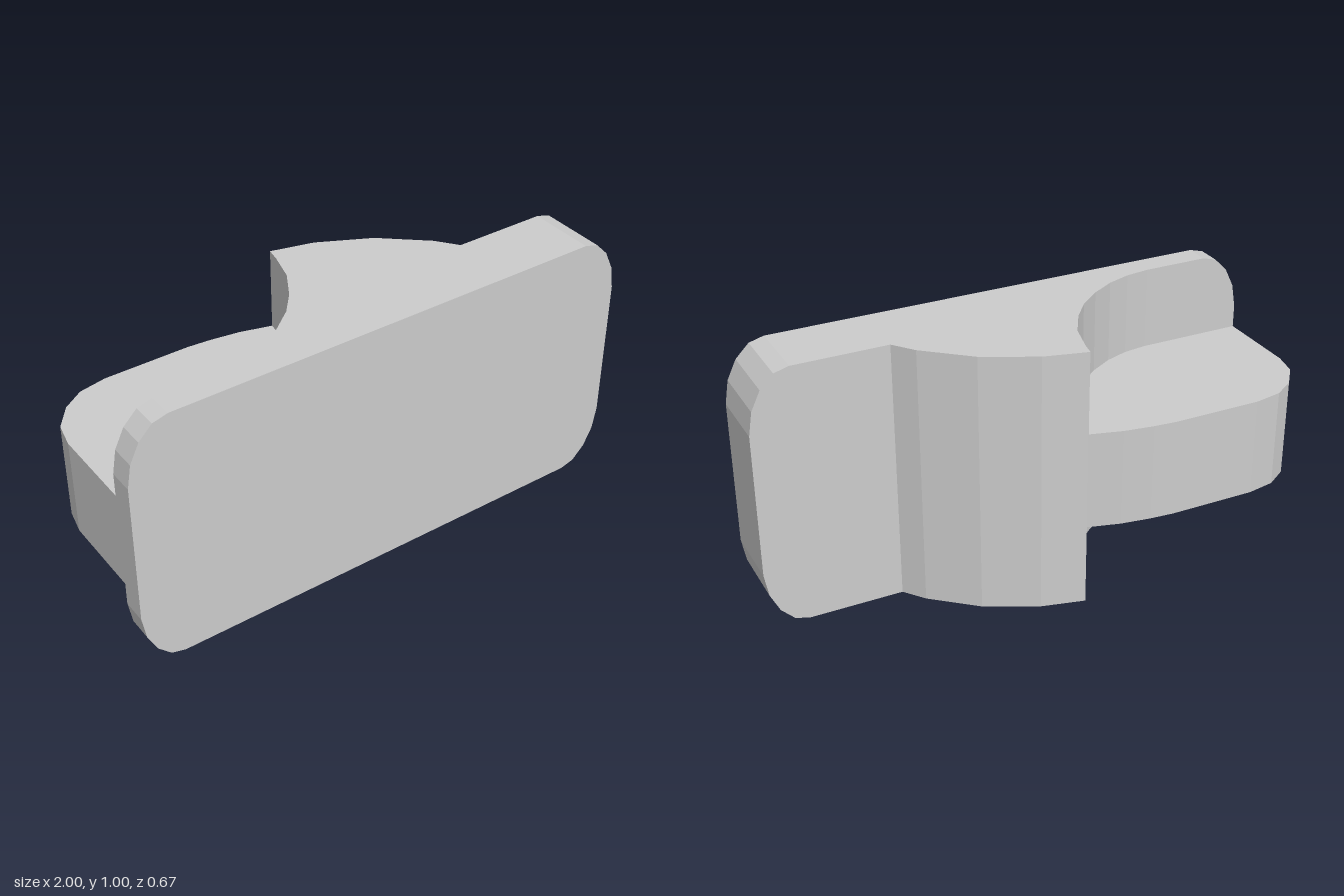
import * as THREE from 'three';

const material = new THREE.MeshStandardMaterial({ color: 0xcccccc, flatShading: true });
const FRONT = 0.333, LEDGE = 0.24, STEP = 0.075;

const toShape = (points) => new THREE.Shape(points.map(([a, b]) => new THREE.Vector2(a, b)));

// Plan outline in (x, z), raised from y0 to y1
function upright(name, plan, y0, y1) {
  const geometry = new THREE.ExtrudeGeometry(toShape(plan.map(([x, z]) => [x, -z])), {
    depth: y1 - y0, bevelEnabled: false,
  });
  geometry.rotateX(-Math.PI / 2).translate(0, y0, 0);
  const mesh = new THREE.Mesh(geometry, material);
  mesh.name = name;
  return mesh;
}

// Plate end with rounded outer corners; side is +1 or -1, inner is its inner x
function plateEnd(name, side, inner, back) {
  const corner = [[0.845, 1], [0.9, 0.985], [0.95, 0.935], [0.985, 0.863], [1, 0.775]];
  const upper = corner.map(([x, y]) => [side * x, y]);
  const lower = corner.map(([x, y]) => [side * x, 1 - y]).reverse();
  const geometry = new THREE.ExtrudeGeometry(
    toShape([[inner, 0], [inner, 1], ...upper, ...lower]),
    { depth: FRONT - back, bevelEnabled: false });
  geometry.translate(0, 0, back);
  const mesh = new THREE.Mesh(geometry, material);
  mesh.name = name;
  return mesh;
}

export function createModel() {
  const group = new THREE.Group();
  group.name = 'bracket';

  // Concave scoop shared by the body and the tongue, from peak to ledge
  const scoop = [
    [-0.08, -0.275], [-0.09, -0.22], [-0.12, -0.11], [-0.18, -0.005], [-0.245, 0.075],
    [-0.33, 0.145], [-0.42, 0.197], [-0.51, 0.228], [-0.6, LEDGE],
  ];
  // Convex back of the body, from peak to step
  const slope = [[0.08, -0.235], [0.27, -0.14], [0.43, -0.003], [0.49, STEP]];
  // Rounded outer edge of the tongue, from plate edge to peak
  const nose = [
    [-1, LEDGE], [-1, -0.08], [-0.98, -0.175], [-0.915, -0.26], [-0.835, -0.313],
    [-0.73, -0.333], [-0.4, -0.333], [-0.31, -0.325], [-0.2, -0.308],
  ];

  group.add(
    plateEnd('thinPlateEnd', -1, -0.6, LEDGE),
    plateEnd('thickPlateEnd', 1, 0.49, STEP),
    upright('body', [[-0.6, FRONT], [0.49, FRONT], ...[...slope].reverse(), ...scoop], 0, 1),
    upright('tongue', [...nose, ...scoop], 0.314, 0.688),
  );
  return group;
}
